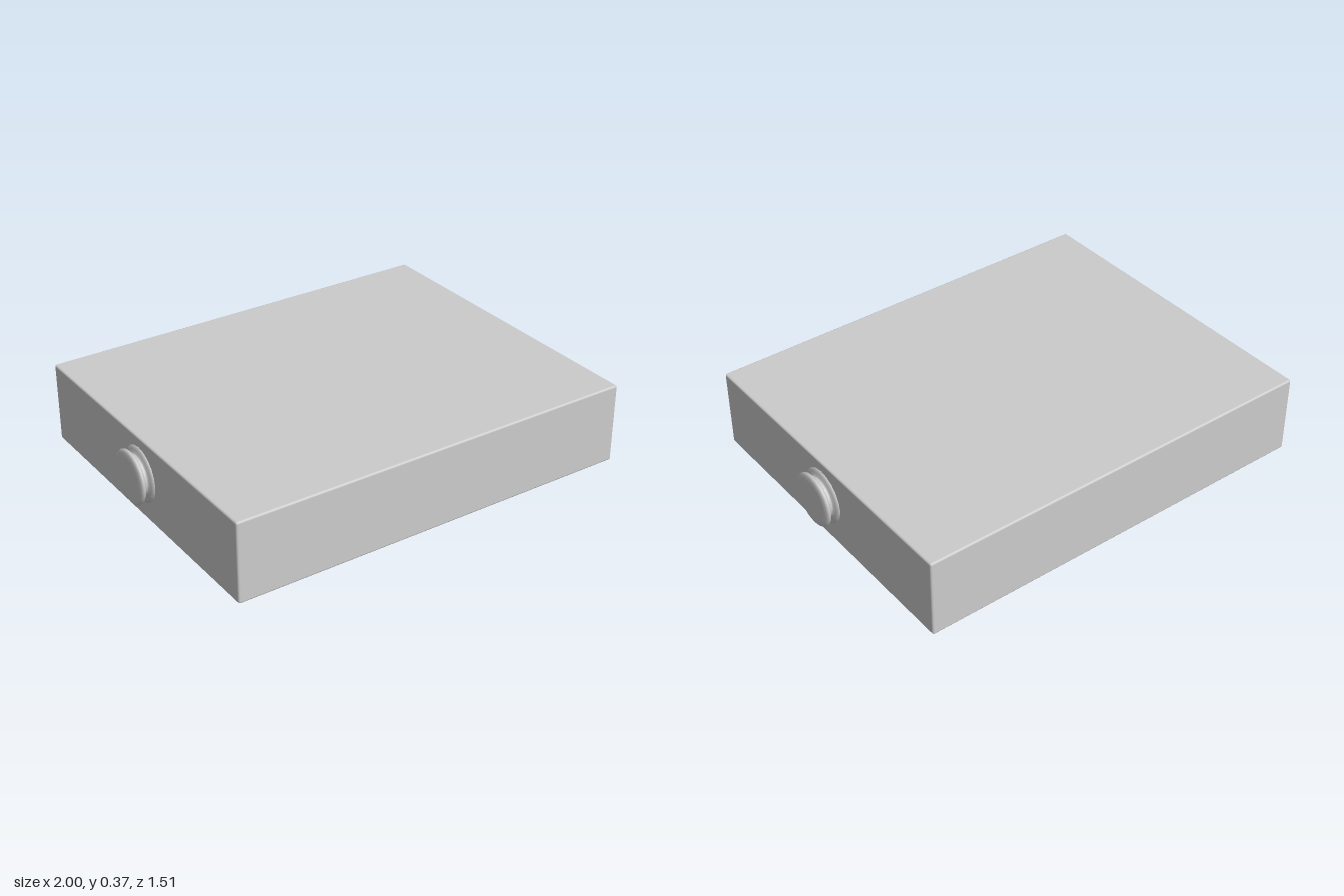
import * as THREE from 'three';
import { RoundedBoxGeometry } from 'three/addons/geometries/RoundedBoxGeometry.js';

export function createModel() {
  const group = new THREE.Group();
  const material = new THREE.MeshStandardMaterial({ color: 0xcccccc });

  // Slab with finely rounded edges
  const body = new THREE.Mesh(new RoundedBoxGeometry(1.886, 0.366, 1.514, 2, 0.009), material);
  body.name = 'body';
  body.position.y = 0.183;
  group.add(body);

  // Knob profile (radius, distance out from the centre): flange, neck, rounded cap
  const profile = [
    [0, 0.935], [0.124, 0.935], [0.125, 0.942], [0.122, 0.949], [0.11, 0.953], [0.097, 0.956],
    [0.094, 0.961], [0.094, 0.972], [0.099, 0.975], [0.112, 0.977], [0.119, 0.981],
    [0.121, 0.987], [0.118, 0.993], [0.11, 0.997], [0.09, 1], [0, 1],
  ].map(([r, d]) => new THREE.Vector2(r, d));
  const knobGeometry = new THREE.LatheGeometry(profile, 20);

  // One knob in the middle of each side
  for (const [name, side] of [['leftKnob', 1], ['rightKnob', -1]]) {
    const knob = new THREE.Mesh(knobGeometry, material);
    knob.name = name;
    knob.rotation.z = -side * Math.PI / 2;
    knob.position.y = 0.195;
    group.add(knob);
  }
  return group;
}
